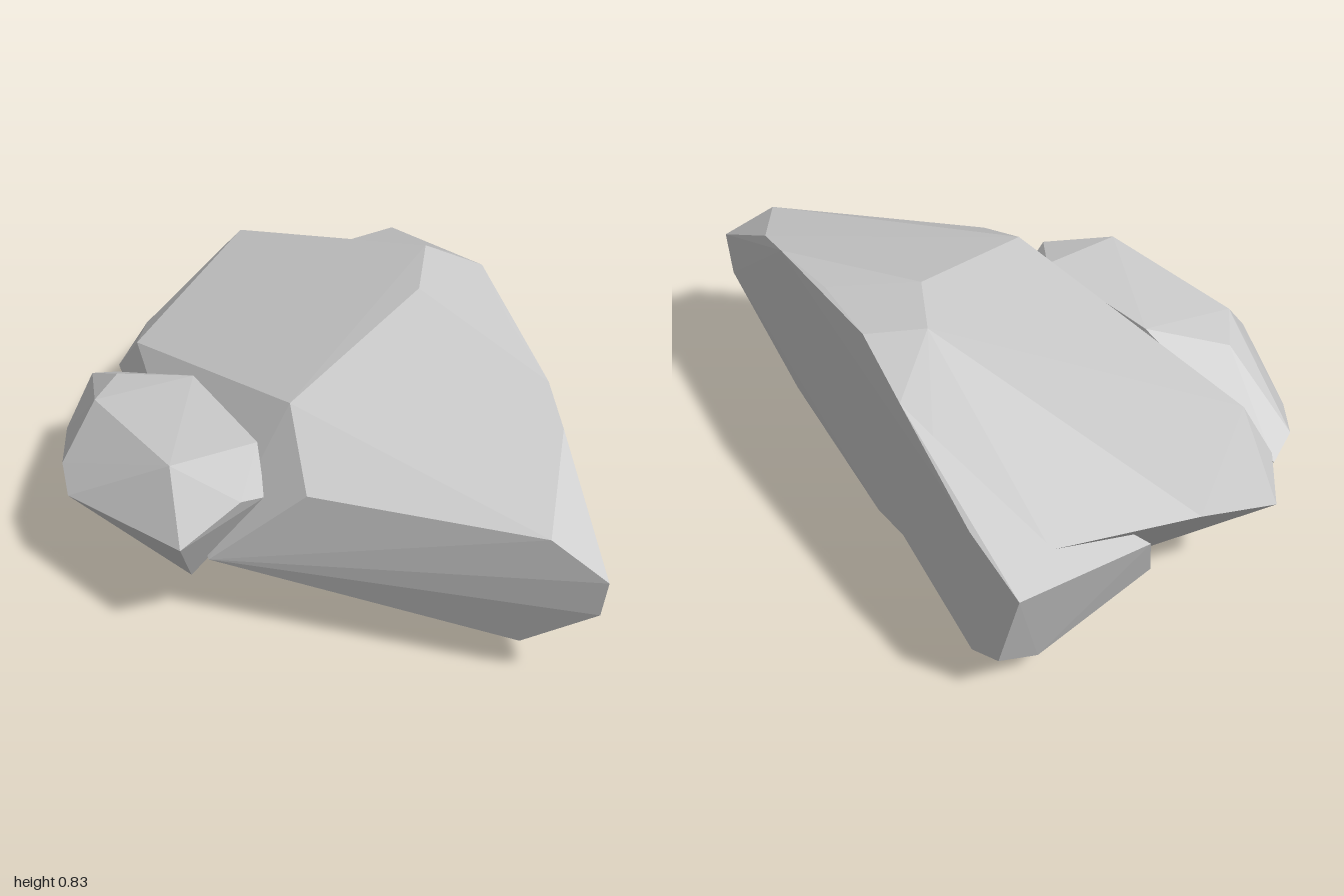
import * as THREE from 'three';
import { ConvexGeometry } from 'three/addons/geometries/ConvexGeometry.js';

const material = new THREE.MeshStandardMaterial({ color: 0xcccccc, flatShading: true });

// A faceted stone: the hull around its corner points
function stone(name, corners) {
  const points = corners.map((c) => new THREE.Vector3(...c));
  const mesh = new THREE.Mesh(new ConvexGeometry(points), material);
  mesh.name = name;
  return mesh;
}

export function createModel() {
  const group = new THREE.Group();
  group.name = 'rock';

  // Large wedge with a sloping top and a pointed front
  group.add(stone('mainBoulder', [
    // top plateau
    [0.2, 0.82, 0.01], [0.37, 0.835, -0.15], [0.3, 0.58, -0.98], [-0.27, 0.465, -0.77], [-0.32, 0.67, 0.06],
    // front point
    [-0.45, 0.54, 0.29], [-0.11, 0.56, 0.87], [-0.02, 0.45, 1], [-0.01, 0.32, 0.97], [-0.08, 0.13, 0.75],
    // broad side face, upper then lower edge
    [0.15, 0.68, 0.65], [0.23, 0.73, 0.51], [0.33, 0.77, 0.25], [0.46, 0.8, 0], [0.55, 0.72, -0.2], [0.63, 0.62, -0.38],
    [0.15, 0.145, 0.56], [0.39, 0.1, 0.03], [0.46, 0.14, -0.12],
    // underside and back
    [-0.6, 0.25, 0.03], [-0.02, 0, -0.2], [-0.09, 0.01, -0.42], [0.03, 0.04, -0.62], [-0.35, 0.145, -0.56],
    [-0.08, 0.36, -1], [-0.28, 0.34, -0.87], [0.59, 0.53, -0.72],
  ]));

  // Foot jutting out at the back corner
  group.add(stone('cornerFoot', [
    [0.55, 0.72, -0.2], [0.63, 0.62, -0.38], [0.705, 0.58, -0.55], [0.775, 0.515, -0.76],
    [0.59, 0.53, -0.72], [0.37, 0.48, -0.88], [0.26, 0.27, -0.82], [0.56, 0.09, -0.67],
    [0.71, 0.18, -0.65], [0.63, 0.06, -0.5], [0.6, 0.05, -0.48], [0.46, 0.14, -0.12], [0.3, 0.12, -0.49],
  ]));

  // Smaller stone leaning against the other side
  group.add(stone('sideStone', [
    // top
    [-0.65, 0.545, -0.06], [-0.4, 0.55, 0.01], [-0.32, 0.54, -0.4], [-0.45, 0.5, -0.61], [-0.59, 0.51, -0.52],
    // rim
    [-0.74, 0.39, 0.1], [-0.56, 0.49, 0.14], [-0.47, 0.46, 0.13], [-0.78, 0.32, -0.4],
    [-0.73, 0.36, -0.5], [-0.56, 0.28, -0.75], [-0.38, 0.35, -0.87], [-0.28, 0.31, -0.88],
    // underside
    [-0.62, 0.17, -0.03], [-0.545, 0.12, -0.68], [-0.35, 0.14, -0.56], [-0.3, 0.15, -0.25],
  ]));

  return group;
}
